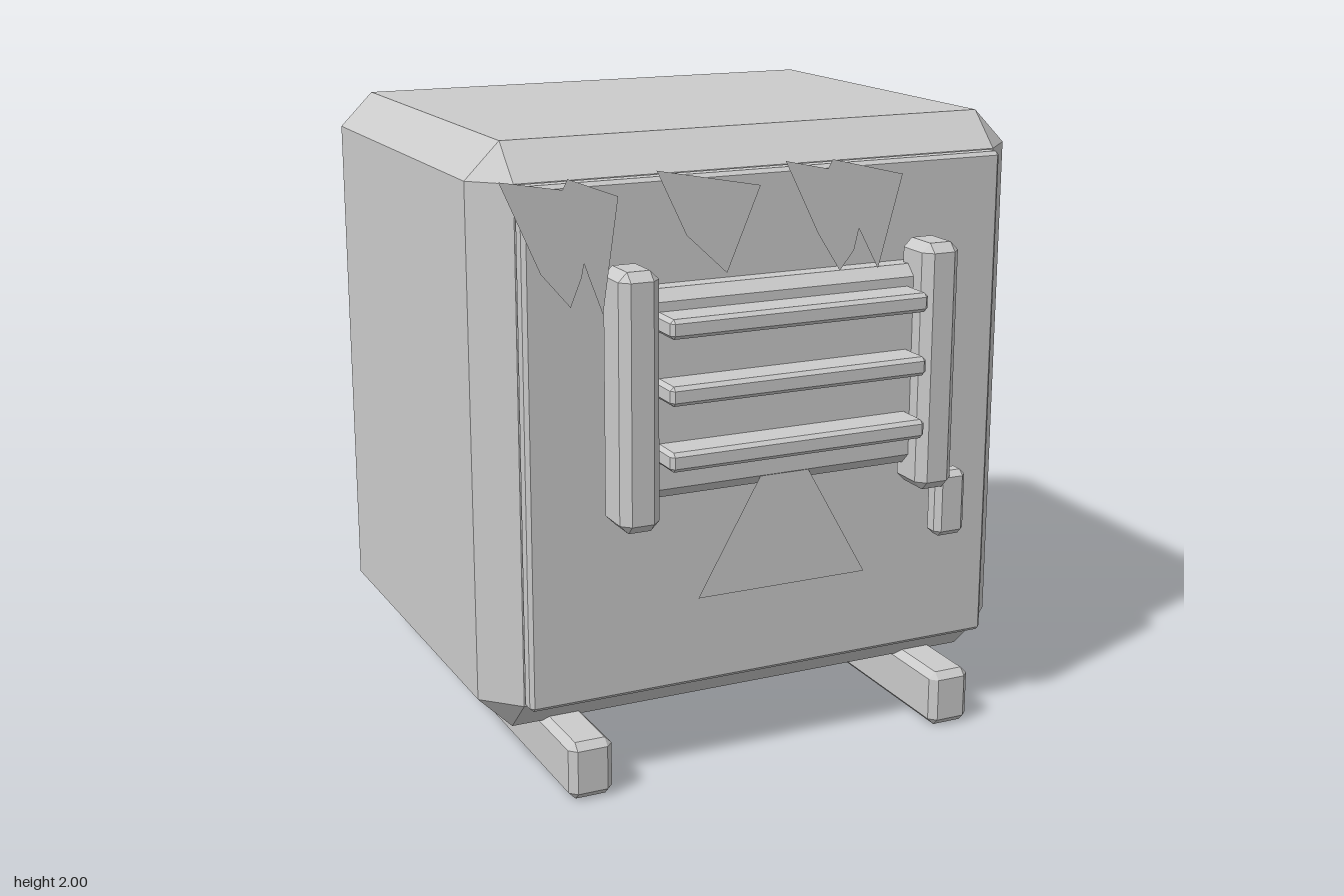
import * as THREE from 'three';
import { ConvexGeometry } from 'three/addons/geometries/ConvexGeometry.js';

const material = new THREE.MeshStandardMaterial({ color: 0xcccccc, flatShading: true });
const sheetMaterial = new THREE.MeshStandardMaterial({ color: 0xcccccc, side: THREE.DoubleSide });

// Box with flat chamfered edges, given its extents on each axis
function chamferBox(name, [x0, x1], [y0, y1], [z0, z1], c) {
  const half = [(x1 - x0) / 2, (y1 - y0) / 2, (z1 - z0) / 2];
  const points = [];
  for (const sx of [-1, 1]) for (const sy of [-1, 1]) for (const sz of [-1, 1]) {
    const sign = [sx, sy, sz];
    // each corner becomes three points, one on each adjoining face
    for (let face = 0; face < 3; face++) {
      points.push(new THREE.Vector3(...half.map((h, i) => sign[i] * (i === face ? h : h - c))));
    }
  }
  const mesh = new THREE.Mesh(new ConvexGeometry(points), material);
  mesh.position.set((x0 + x1) / 2, (y0 + y1) / 2, (z0 + z1) / 2);
  mesh.name = name;
  return mesh;
}

// Flat cut-out facing the front
function cutout(name, outline, z) {
  const shape = new THREE.Shape(outline.map(([x, y]) => new THREE.Vector2(x, y)));
  const mesh = new THREE.Mesh(new THREE.ShapeGeometry(shape), sheetMaterial);
  mesh.position.z = z;
  mesh.name = name;
  return mesh;
}

export function createModel() {
  const model = new THREE.Group();
  model.name = 'chamferedCabinet';

  // Body and front panel
  model.add(chamferBox('body', [-0.92, 0.92], [0.17, 2], [-0.8, 0.67], 0.11));
  model.add(chamferBox('frontPanel', [-0.81, 0.8], [0.28, 1.89], [0.67, 0.73], 0.012));

  // Runners under the body
  for (const [name, x] of [['rightRunner', -0.643], ['leftRunner', 0.64]]) {
    model.add(chamferBox(name, [x - 0.072, x + 0.072], [0, 0.187], [-0.93, 0.81], 0.023));
  }

  // Grille: backing plate, side posts and slats
  const grille = new THREE.Group();
  grille.name = 'grille';
  grille.add(chamferBox('backingPlate', [-0.5, 0.49], [0.932, 1.573], [0.68, 0.82], 0.034));
  for (const [name, x] of [['rightPost', -0.508], ['leftPost', 0.502]]) {
    grille.add(chamferBox(name, [x - 0.064, x + 0.064], [0.86, 1.648], [0.73, 0.893], 0.028));
  }
  for (const y of [1.08, 1.28, 1.48]) {
    grille.add(chamferBox('slat', [-0.435, 0.428], [y - 0.03, y + 0.03], [0.8, 0.933], 0.012));
  }
  model.add(grille);

  // Latch beside the grille
  model.add(chamferBox('latch', [0.53, 0.638], [0.685, 0.9], [0.785, 0.858], 0.018));

  // Flat decorations just in front of the panel
  model.add(cutout('triangle', [[-0.292, 0.6], [0.288, 0.6], [0, 1.11]], 0.818));
  model.add(cutout('rightSpikes', [
    [-0.91, 1.925], [-0.72, 1.89], [-0.705, 1.92], [-0.55, 1.86], [-0.6, 1.52],
    [-0.645, 1.64], [-0.657, 1.675], [-0.665, 1.635], [-0.7, 1.55], [-0.79, 1.655],
  ], 0.82));
  model.add(cutout('middleSpike', [
    [-0.43, 1.925], [-0.095, 1.86], [-0.203, 1.607], [-0.335, 1.73],
  ], 0.82));
  model.add(cutout('leftSpikes', [
    [-0.013, 1.925], [0.13, 1.893], [0.145, 1.92], [0.388, 1.86], [0.31, 1.575],
    [0.24, 1.705], [0.225, 1.64], [0.177, 1.58], [0.1, 1.70],
  ], 0.82));

  return model;
}
